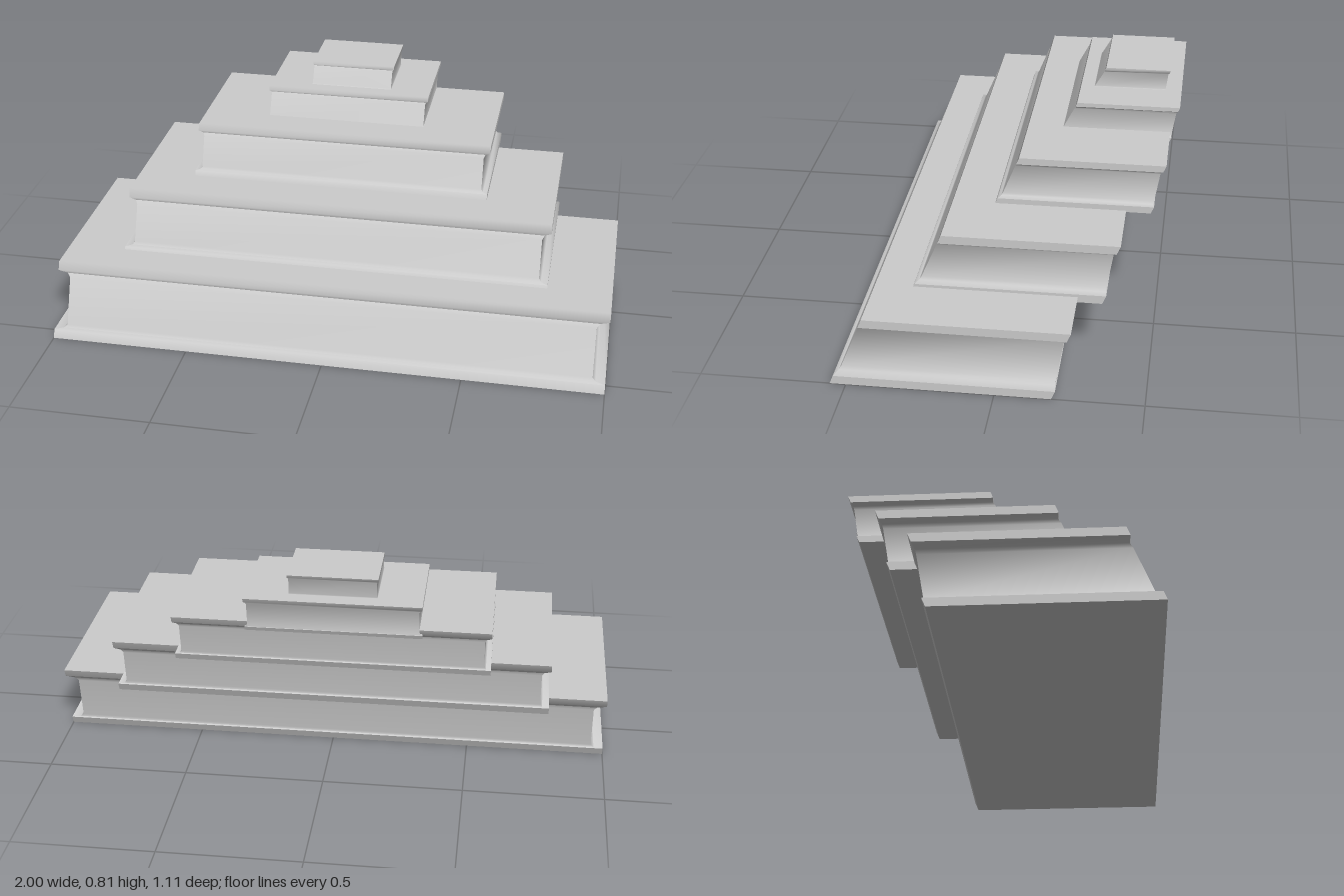
import * as THREE from 'three';
import { toCreasedNormals } from 'three/addons/utils/BufferGeometryUtils.js';

const material = new THREE.MeshStandardMaterial({ color: 0xcccccc });

// One raked block: rectangular cross-sections stacked in y, with a flange at
// the bottom and top and a filleted, inset waist between them.
function blockGeometry({ x, y, front, back, inset, s }) {
  const f = 0.03 * s;
  // [height, inset fraction, front z, back z]
  const rows = [
    [y[0], 0, front[0], back[0]],
    [y[0] + f, 0, front[0] - 0.012 * s, back[0] - 0.013 * s],
    [y[0] + f + 0.004 * s, 0.75, front[0] - 0.025 * s, back[0] - 0.01 * s],
    [y[0] + f + 0.014 * s, 1, front[0] - 0.032 * s, back[0] - 0.011 * s],
    [y[1] - f - 0.022 * s, 1, front[1] + 0.02 * s, back[1] + 0.025 * s],
    [y[1] - f - 0.01 * s, 0.75, front[1] + 0.009 * s, back[1] + 0.022 * s],
    [y[1] - f, 0, front[1] + 0.012 * s, back[1] + 0.013 * s],
    [y[1], 0, front[1], back[1]],
  ];
  const positions = [];
  const index = [];
  for (const [h, k, zf, zb] of rows) {
    const l = x[0] + inset * k;
    const r = x[1] - inset * k;
    positions.push(l, h, zf, r, h, zf, r, h, zb, l, h, zb);
  }
  for (let i = 0; i < rows.length - 1; i++) {
    for (let j = 0; j < 4; j++) {
      const a = i * 4 + j;
      const b = i * 4 + ((j + 1) % 4);
      index.push(a, b, b + 4, a, b + 4, a + 4);
    }
  }
  const t = (rows.length - 1) * 4;
  index.push(t, t + 1, t + 2, t, t + 2, t + 3); // top
  index.push(0, 2, 1, 0, 3, 2); // underside
  const geometry = new THREE.BufferGeometry();
  geometry.setAttribute('position', new THREE.Float32BufferAttribute(positions, 3));
  geometry.setIndex(index);
  return toCreasedNormals(geometry, 0.95);
}

export function createModel() {
  const group = new THREE.Group();
  group.name = 'steppedBlocks';
  // Tiers from the ground up; front and back are z at the bottom and top
  const tiers = [
    { name: 'baseTier', x: [-1, 1], y: [0, 0.257], front: [0.555, 0.437], back: [-0.19, -0.253], inset: 0.045, s: 1 },
    { name: 'secondTier', x: [-0.79, 0.77], y: [0.237, 0.46], front: [0.315, 0.208], back: [-0.335, -0.392], inset: 0.032, s: 1 },
    { name: 'thirdTier', x: [-0.58, 0.52], y: [0.455, 0.638], front: [0.062, -0.023], back: [-0.476, -0.523], inset: 0.023, s: 0.8 },
    { name: 'fourthTier', x: [-0.345, 0.263], y: [0.605, 0.737], front: [-0.125, -0.195], back: [-0.522, -0.554], inset: 0.01, s: 0.5 },
    { name: 'topTier', x: [-0.193, 0.118], y: [0.725, 0.813], front: [-0.234, -0.284], back: [-0.493, -0.513], inset: 0.005, s: 0.35 },
  ];
  for (const tier of tiers) {
    const mesh = new THREE.Mesh(blockGeometry(tier), material);
    mesh.name = tier.name;
    group.add(mesh);
  }
  return group;
}
